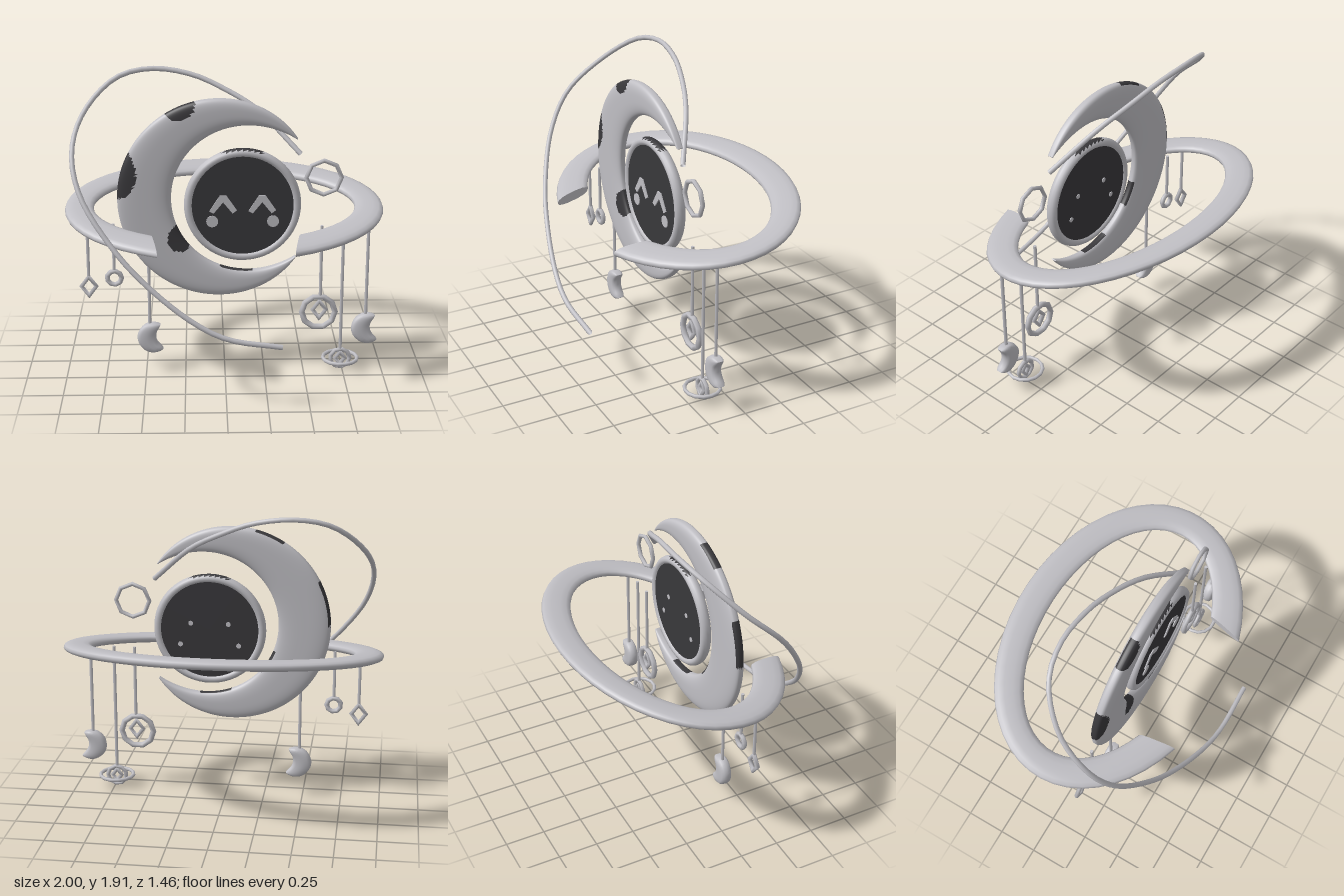
import * as THREE from 'three';

const pale = new THREE.MeshStandardMaterial({ color: 0xc0bfc4, side: THREE.DoubleSide });
pale.name = 'pale grey';
const dark = new THREE.MeshStandardMaterial({ color: 0x39383b, side: THREE.DoubleSide });
dark.name = 'charcoal';
const Z = 0.147; // plane of the moon, the face and the charms

// Sweeps a section: point(u, v) with u along the sweep and v around it
function loft(point, nu, nv) {
  const pos = [], index = [];
  for (let i = 0; i <= nu; i++)
    for (let j = 0; j < nv; j++) pos.push(...point(i / nu, (j / nv) * Math.PI * 2));
  for (let i = 0; i < nu; i++)
    for (let j = 0; j < nv; j++) {
      const k = (j + 1) % nv, a = i * nv + j, b = a + nv, c = i * nv + k, d = b - j + k;
      index.push(a, b, c, b, d, c);
    }
  // end caps on their own corners, so their edges stay sharp
  for (const i of [0, nu]) {
    const base = pos.length / 3;
    for (let j = 0; j < nv; j++) pos.push(...pos.slice((i * nv + j) * 3, (i * nv + j) * 3 + 3));
    for (let j = 1; j < nv - 1; j++)
      index.push(base, ...(i ? [base + j + 1, base + j] : [base + j, base + j + 1]).reverse());
  }
  const g = new THREE.BufferGeometry();
  g.setAttribute('position', new THREE.Float32BufferAttribute(pos, 3));
  g.setIndex(index);
  g.computeVertexNormals();
  return g;
}

const soft = (s, p) => Math.sign(s) * Math.abs(s) ** p;

// Crescent open to +x: outer radius R, tip radius Rt at angle a0, inner circle r centred at dx
function crescent(R, Rt, a0, dx, r, depth, nu, nv) {
  const tx = Rt * Math.cos(a0), ty = Rt * Math.sin(a0);
  const b0 = Math.atan2(ty, tx - dx), rt = Math.hypot(tx - dx, ty);
  return loft((u, v) => {
    const s = u * 2 - 1, w = s ** 6;
    const a = Math.PI + s * (Math.PI - a0), b = Math.PI + s * (Math.PI - b0);
    const ro = R + (Rt - R) * w, ri = r + (rt * 0.985 - r) * w;
    const k = 0.5 + 0.5 * soft(Math.cos(v), 0.75);
    const ox = ro * Math.cos(a), oy = ro * Math.sin(a);
    const ix = dx + ri * Math.cos(b), iy = ri * Math.sin(b);
    return [ix + (ox - ix) * k, iy + (oy - iy) * k,
      depth * (1 - 0.55 * w) * soft(Math.sin(v), 0.7)];
  }, nu, nv);
}

// Splits a geometry into pale and dark groups by triangle centre
function paint(g, isDark) {
  const p = g.attributes.position, idx = g.index.array, sets = [[], []];
  for (let i = 0; i < idx.length; i += 3) {
    const t = [idx[i], idx[i + 1], idx[i + 2]];
    const mid = (f) => (f(t[0]) + f(t[1]) + f(t[2])) / 3;
    const hit = isDark(mid((n) => p.getX(n)), mid((n) => p.getY(n)), mid((n) => p.getZ(n)));
    sets[hit ? 1 : 0].push(...t);
  }
  g.setIndex([...sets[0], ...sets[1]]);
  g.clearGroups();
  g.addGroup(0, sets[0].length, 0);
  g.addGroup(sets[0].length, sets[1].length, 1);
  return g;
}

export function createModel() {
  const model = new THREE.Group();
  model.name = 'moonMobile';
  const add = (name, geo, mat, x = 0, y = 0, z = 0, parent = model) => {
    const m = new THREE.Mesh(geo, mat);
    m.name = name;
    m.position.set(x, y, z);
    parent.add(m);
    return m;
  };

  // Large crescent with dark craters: x, y, radius x, radius y
  const craters = [[-0.25, 0.6, 0.1, 0.1], [-0.63, 0.17, 0.12, 0.16], [-0.25, -0.25, 0.075, 0.085]];
  const moon = crescent(0.63, 0.605, 0.68, 0.16, 0.46, 0.042, 160, 48);
  paint(moon, (x, y, z) =>
    craters.some(([cx, cy, rx, ry]) => z > -0.025 && ((x - cx) / rx) ** 2 + ((y - cy) / ry) ** 2 < 1) ||
    (x > 0.36 && y > 0 && Math.hypot(x - 0.16, y) < 0.475) ||
    (x > 0 && x < 0.2 && y < 0 && Math.hypot(x - 0.16, y) < 0.468));
  add('crescentMoon', moon, [pale, dark], -0.03, 1.15, Z);

  // Round face: dark disc, pale rim, eyes and cheeks
  const face = new THREE.Group();
  face.name = 'face';
  face.position.set(0.108, 1.11, Z);
  model.add(face);
  add('faceDisc', new THREE.CylinderGeometry(0.33, 0.33, 0.046, 40).rotateX(Math.PI / 2), dark, 0, 0, 0, face);
  const rim = new THREE.TorusGeometry(0.332, 0.028, 12, 64).scale(1, 1, 1.25);
  paint(rim, (x, y, z) => y > 0.325 && Math.abs(x) < 0.12 && Math.hypot(x, y) > 0.352);
  add('faceRim', rim, [pale, dark], 0, 0, 0, face);
  const chevron = new THREE.Shape([[-0.085, -0.045], [-0.02, 0.055], [0.02, 0.055], [0.085, -0.04],
    [0.058, -0.06], [0, 0.012], [-0.058, -0.06]].reverse().map((p) => new THREE.Vector2(...p)));
  const eye = new THREE.ExtrudeGeometry(chevron, { depth: 0.008, bevelEnabled: false });
  const cheek = new THREE.CylinderGeometry(0.037, 0.037, 0.008, 16).rotateX(Math.PI / 2);
  const dot = new THREE.CylinderGeometry(0.016, 0.016, 0.006, 10).rotateX(Math.PI / 2);
  for (const s of [-1, 1]) {
    add('eye', eye, pale, s * 0.12, 0.012, 0.022, face);
    add('cheek', cheek, pale, s * 0.187, -0.1, 0.025, face);
    add('backDot', dot, pale, s * 0.187, -0.1, -0.024, face);
    add('backDot', dot, pale, s * 0.12, 0.04, -0.024, face);
  }

  // Broad tilted ring, open at the front
  const band = loft((u, v) => {
    const sweep = (t0) => t0 + u * (2 * Math.PI - 2 * t0);
    const to = sweep(0.42), ti = sweep(0.58), k = 0.5 + 0.5 * soft(Math.cos(v), 0.8);
    const xo = Math.sin(to), zo = -0.05 + 0.68 * Math.cos(to);
    const xi = 0.82 * Math.sin(ti), zi = -0.06 + 0.48 * Math.cos(ti);
    const z = zi + (zo - zi) * k;
    return [xi + (xo - xi) * k, 1.025 - 0.16 * z + 0.031 * soft(Math.sin(v), 0.8), z];
  }, 44, 14);
  add('tiltedRing', band, pale);

  // Thin orbit sweeping over and in front
  const orbit = new THREE.CatmullRomCurve3([
    [0.46, 1.43, 0.14], [0.2, 1.67, -0.02], [0, 1.78, -0.1], [-0.2, 1.86, -0.15], [-0.45, 1.893, -0.17],
    [-0.66, 1.85, -0.12], [-0.85, 1.68, 0.05], [-0.915, 1.48, 0.26], [-0.86, 1.25, 0.41], [-0.65, 0.95, 0.555],
    [-0.45, 0.75, 0.63], [-0.2, 0.56, 0.69], [0, 0.46, 0.71], [0.33, 0.4, 0.7],
  ].map((p) => new THREE.Vector3(...p)));
  add('thinOrbit', new THREE.TubeGeometry(orbit, 52, 0.016, 8), pale);

  // Strings: x, bottom, top
  for (const [x, lo, hi] of [[-0.85, 0.64, 0.99], [-0.69, 0.69, 0.99], [-0.475, 0.32, 0.72],
    [0.6, 0.5, 0.97], [0.735, 0.14, 0.97], [0.89, 0.36, 0.99]])
    add('string', new THREE.CylinderGeometry(0.011, 0.011, hi - lo, 6), pale, x, (lo + hi) / 2, Z);

  // Hanging charms
  const hoop = (name, x, y, R, tube, sides) =>
    add(name, new THREE.TorusGeometry(R, tube, 6, sides), pale, x, y, Z);
  const diamond = (x, y, R) => {
    const m = hoop('diamondCharm', x, y, R, 0.015, 4);
    m.scale.y = 1.35;
  };
  diamond(-0.85, 0.58, 0.046);
  diamond(0.595, 0.41, 0.042);
  hoop('smallHoop', -0.69, 0.635, 0.045, 0.016, 9);
  hoop('largeHoop', 0.59, 0.395, 0.105, 0.019, 10);
  hoop('floatingHoop', 0.605, 1.28, 0.108, 0.014, 8);
  hoop('planetHoop', 0.735, 0.075, 0.062, 0.014, 9);
  diamond(0.735, 0.075, 0.03);
  hoop('planetRing', 0.735, 0.078, 0.11, 0.012, 14).rotation.x = Math.PI / 2;
  const charm = crescent(0.1, 0.1, 0.98, 0.1, 0.08, 0.038, 20, 12);
  add('moonCharm', charm, pale, -0.455, 0.23, Z).rotation.z = 0.1;
  add('moonCharm', charm, pale, 0.9, 0.283, Z).rotation.z = 0.1;
  return model;
}
